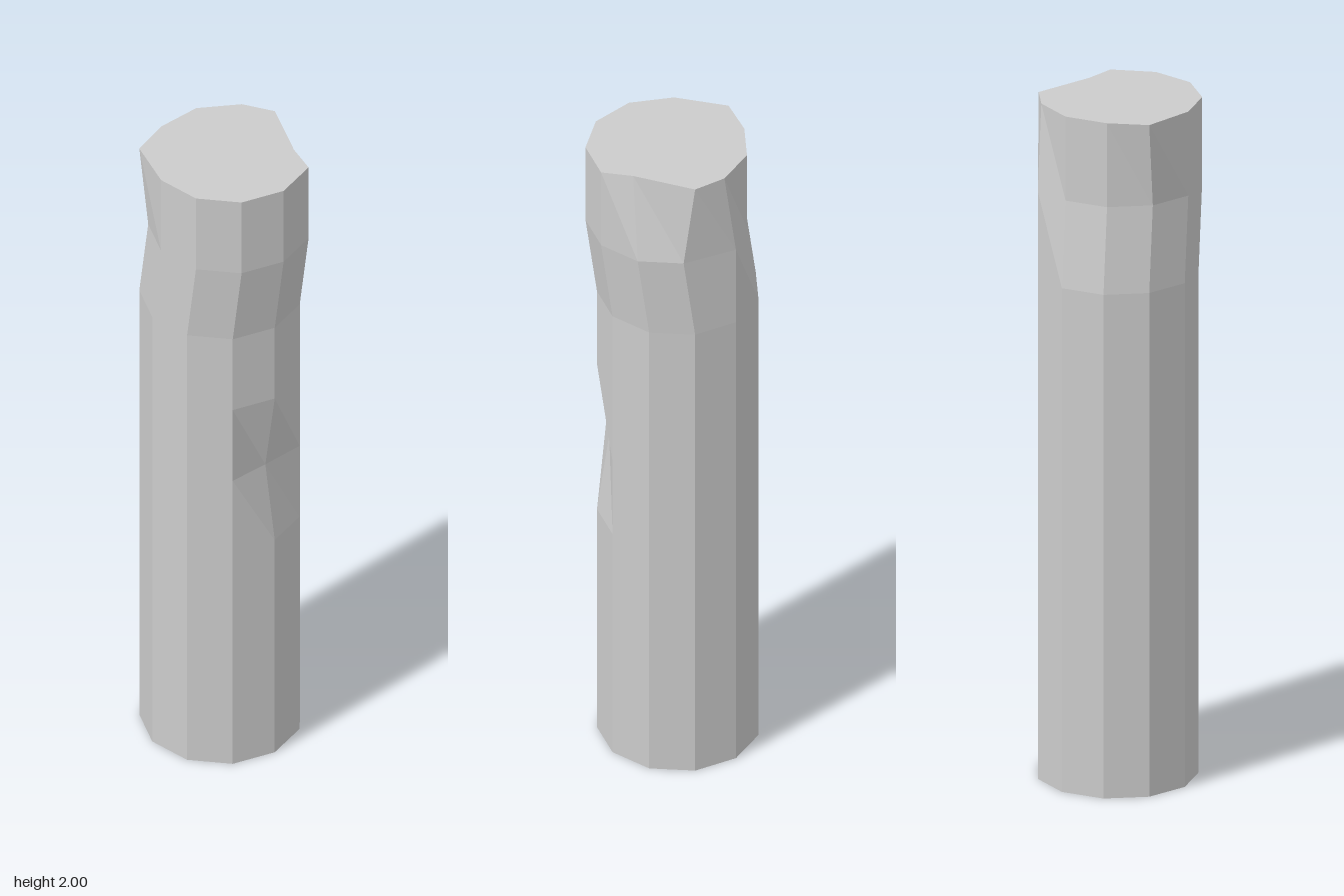
import * as THREE from 'three';

// Eleven-sided post: straight shaft, a bent head and a few chipped corners.
const SIDES = 11, RADIUS = 0.23, CX = -0.005, CZ = -0.017, BEND = 0.033;
const LEVELS = [0, 0.25, 0.5, 0.75, 1, 1.25, 1.5, 1.75, 2];

// Corner i of the ring at height y; corner 0 points to +x, numbering goes towards +z.
function corner(i, y) {
  const a = (i / SIDES) * Math.PI * 2;
  let x = CX + RADIUS * Math.cos(a);
  let z = CZ + RADIUS * Math.sin(a);
  const head = y > 1.5;
  // corners that stay behind when the head bends forward
  const stays = (y === 2 && (i === 0 || i === 7)) || (y === 1.75 && i === 10);
  if (head && !stays) z += BEND;
  if (y === 2 && i === 1) x -= 0.063; // chip at the top rim
  if (y === 1 && i === 3) z -= 0.035; // shallow dent halfway up the front
  return [x, y, z];
}

export function createModel() {
  const group = new THREE.Group();
  const pos = [];
  const tri = (...points) => points.forEach((p) => pos.push(...p));

  // side faces
  for (let l = 0; l < LEVELS.length - 1; l++) {
    for (let i = 0; i < SIDES; i++) {
      const j = (i + 1) % SIDES;
      const a = corner(i, LEVELS[l]), b = corner(j, LEVELS[l]);
      const c = corner(j, LEVELS[l + 1]), d = corner(i, LEVELS[l + 1]);
      tri(a, d, c);
      tri(a, c, b);
    }
  }
  // end caps, fanned from the middle
  for (let i = 0; i < SIDES; i++) {
    const j = (i + 1) % SIDES;
    tri([0, 0, CZ], corner(i, 0), corner(j, 0));
    tri([0, 2, 0], corner(j, 2), corner(i, 2));
  }

  const geometry = new THREE.BufferGeometry();
  geometry.setAttribute('position', new THREE.Float32BufferAttribute(pos, 3));
  geometry.computeVertexNormals();
  const post = new THREE.Mesh(
    geometry,
    new THREE.MeshStandardMaterial({ color: 0xcccccc, flatShading: true })
  );
  post.name = 'post';
  group.add(post);
  return group;
}
